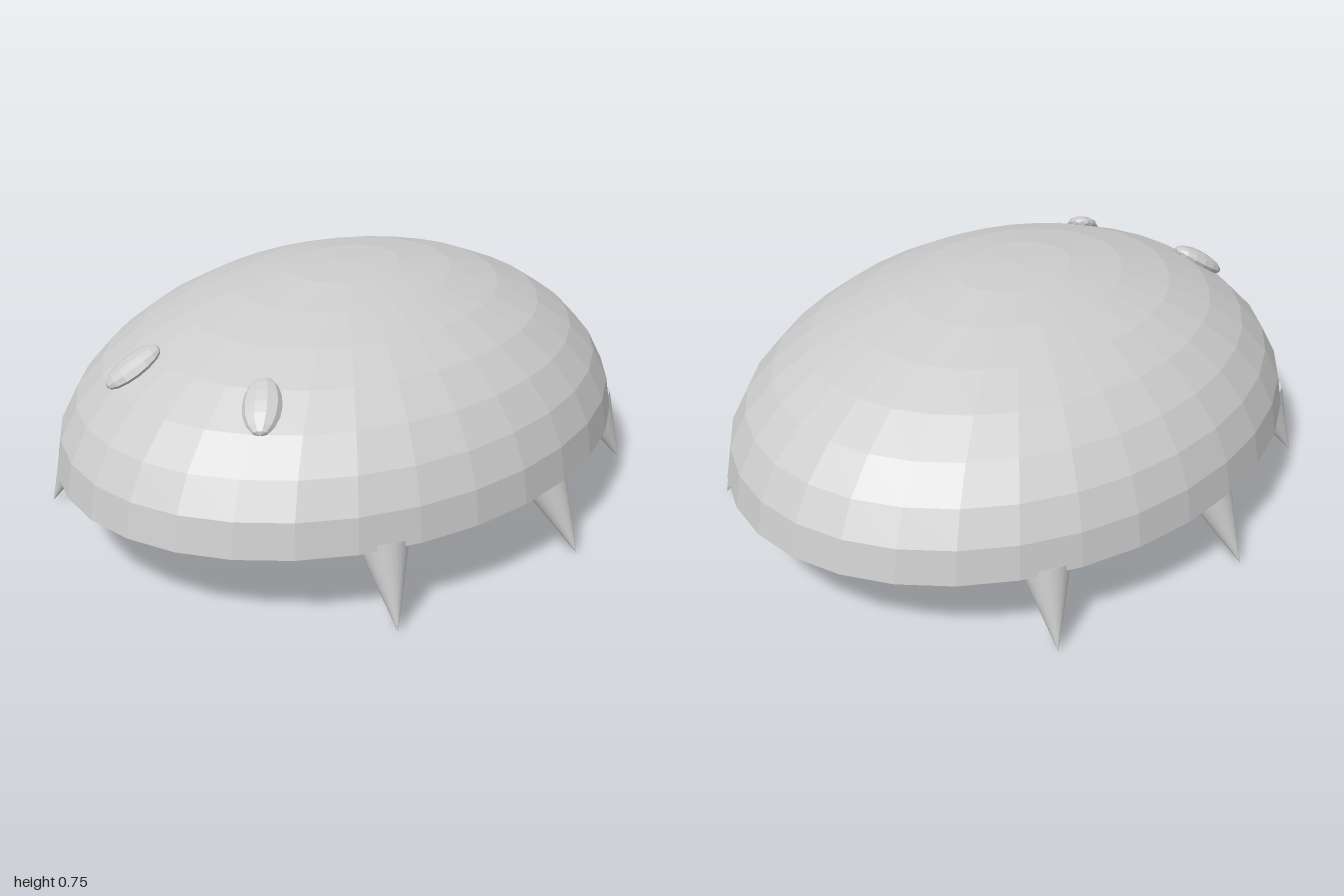
import * as THREE from 'three';

const HALF_X = 0.79, RIM_Y = 0.225, DOME_HEIGHT = 0.52;

export function createModel() {
  const model = new THREE.Group();
  const grey = new THREE.MeshStandardMaterial({ color: 0xcccccc });
  grey.name = 'plain grey';

  function add(name, geometry) {
    const mesh = new THREE.Mesh(geometry, grey);
    mesh.name = name;
    model.add(mesh);
    return mesh;
  }
  // Oval shell with flat facets, turned from a profile running bottom to top
  function shell(name, profile) {
    const geo = new THREE.LatheGeometry(profile.map(([r, y]) => new THREE.Vector2(r, y)), 32);
    geo.scale(HALF_X, 1, 1);
    const flat = geo.toNonIndexed();
    flat.computeVertexNormals();
    return add(name, flat);
  }

  // Domed back
  const dome = [];
  for (let i = 0; i <= 8; i++) {
    const a = (i * Math.PI) / 16;
    dome.push([i === 8 ? 0 : Math.cos(a), RIM_Y + DOME_HEIGHT * Math.sin(a)]);
  }
  shell('domedShell', dome);

  // Shallow belly
  shell('belly', [[0, 0.068], [0.195, 0.07], [0.383, 0.076], [0.556, 0.088],
    [0.707, 0.113], [0.84, 0.15], [1, RIM_Y]]);

  // Pointed legs, three on each side
  const up = new THREE.Vector3(0, 1, 0);
  function leg(name, base, tip) {
    const axis = tip.clone().sub(base);
    const mesh = add(name, new THREE.ConeGeometry(0.07, axis.length(), 24));
    mesh.position.copy(base).add(tip).multiplyScalar(0.5);
    mesh.quaternion.setFromUnitVectors(up, axis.normalize());
  }
  for (const side of [1, -1]) {
    const label = side > 0 ? 'left' : 'right';
    leg(label + 'MiddleLeg', new THREE.Vector3(side * 0.72, 0.215, 0), new THREE.Vector3(side * 0.845, 0, 0));
    for (const end of [1, -1]) {
      leg(label + (end > 0 ? 'FrontLeg' : 'BackLeg'),
        new THREE.Vector3(side * 0.565, 0.215, end * 0.6),
        new THREE.Vector3(side * 0.655, 0, end * 0.66));
    }

    // Flattened oval eye lying on the dome
    const geo = new THREE.SphereGeometry(1, 10, 8).toNonIndexed();
    geo.computeVertexNormals();
    const eye = add(label + 'Eye', geo);
    const normal = new THREE.Vector3(side * 0.377, 1.26, 0.7).normalize();
    const along = new THREE.Vector3(side * -0.5, 0.55, -0.75);
    along.addScaledVector(normal, -along.dot(normal)).normalize();
    const across = new THREE.Vector3().crossVectors(along, normal);
    eye.quaternion.setFromRotationMatrix(new THREE.Matrix4().makeBasis(across, along, normal));
    eye.scale.set(0.055, 0.094, 0.03);
    eye.position.set(side * 0.235, 0.568, 0.7);
  }
  return model;
}
